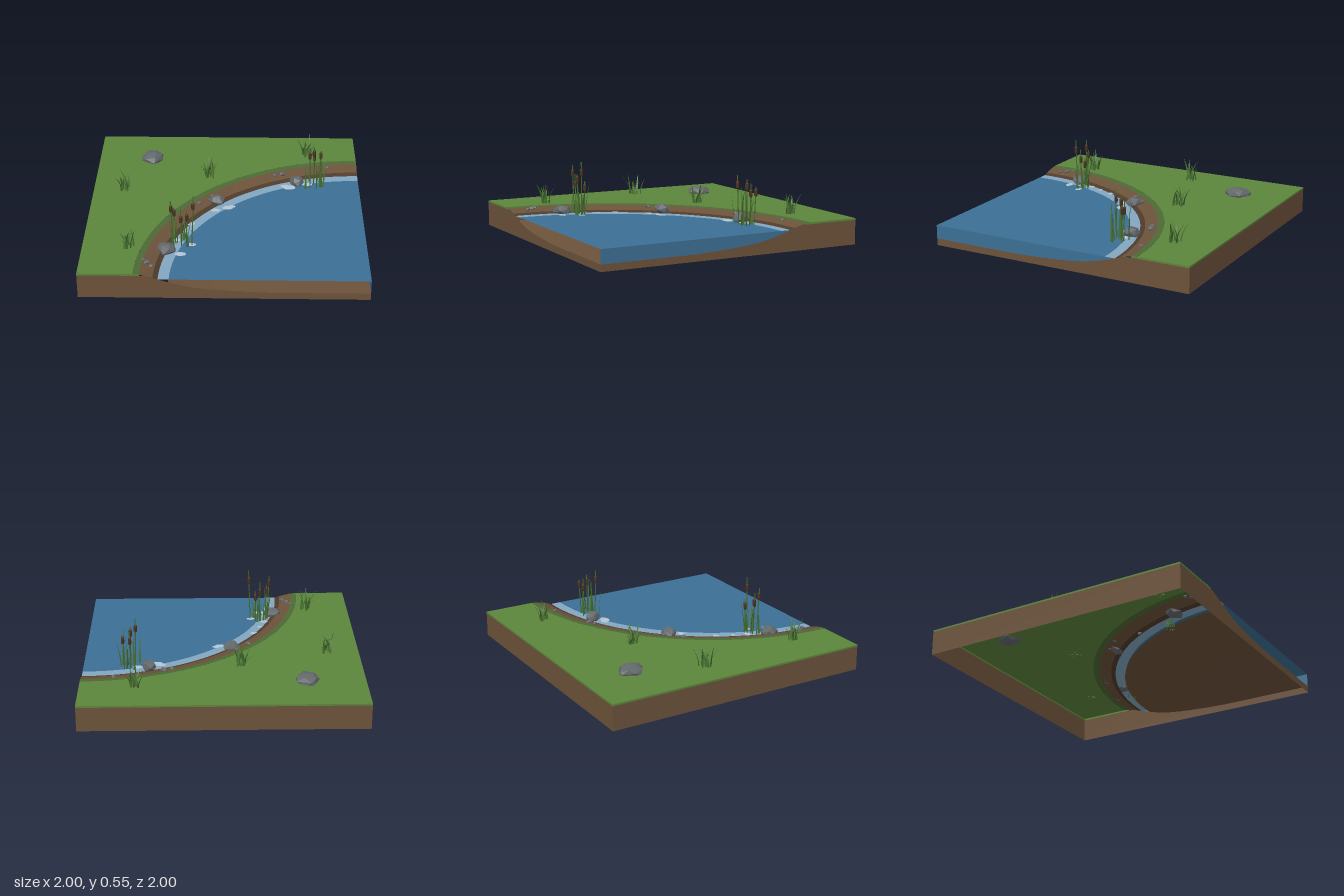
import * as THREE from 'three';
import { ConvexGeometry } from 'three/addons/geometries/ConvexGeometry.js';

function material(name, color, flat = false) {
  const m = new THREE.MeshStandardMaterial({ color, side: THREE.DoubleSide, flatShading: flat });
  m.name = name;
  return m;
}

export function createModel() {
  const model = new THREE.Group();
  model.name = 'pondCorner';
  const mat = {
    grass: material('grass green', 0x5c863c),
    edge: material('grass edge', 0x4d6a35),
    soil: material('soil brown', 0x6c523a),
    wet: material('wet soil', 0x4f3b2a),
    water: material('water blue', 0x3c7095),
    shallow: material('shallow water', 0x82a6c0),
    foam: material('foam white', 0xb4c6d2),
    rock: material('rock grey', 0x63686b, true),
    leaf: material('leaf green', 0x47702f),
    cattail: material('cattail brown', 0x4b3222),
  };
  let seed = 7;
  const rand = (a = 0, b = 1) => {
    seed = (seed * 16807) % 2147483647;
    return a + (b - a) * seed / 2147483647;
  };
  const add = (name, geo, m, parent = model) => {
    const mesh = new THREE.Mesh(geo, m);
    mesh.name = name;
    parent.add(mesh);
    return mesh;
  };

  // Quarter rings swept around the corner x = 1, z = 1, outer point first
  const ring = (name, m, pts) => add(name,
    new THREE.LatheGeometry(pts.map(p => new THREE.Vector2(...p)), 40, Math.PI, Math.PI / 2).translate(1, 0, 1), m);
  const TOP = 0.19, SOD = 0.177, LEVEL = 0.15;
  const basin = [[1.38, 0.128], [1.3, 0.105], [1.2, 0.085], [1.1, 0.073], [1, 0.065], [0.85, 0.056], [0.7, 0.05]];
  ring('grassEdge', mat.edge, [[1.62, TOP], [1.575, 0.186]]);
  ring('bank', mat.soil, [[1.575, 0.186], [1.53, 0.175], [1.485, 0.162]]);
  ring('wetBank', mat.wet, [[1.485, 0.162], [1.45, LEVEL]]);
  ring('pondBed', mat.soil, [...basin, [0, 0.05]]);
  ring('shallows', mat.shallow, [[1.452, LEVEL], [1.375, LEVEL]]);
  ring('waterSurface', mat.water, [[1.375, LEVEL], [0, LEVEL]]);

  // Lawn with a round bite taken out
  const lawn = new THREE.Shape();
  lawn.moveTo(-1, -1);
  lawn.lineTo(-0.62, -1);
  lawn.absarc(1, -1, 1.62, Math.PI, Math.PI / 2, true);
  lawn.lineTo(1, 1);
  lawn.lineTo(-1, 1);
  add('lawn', new THREE.ShapeGeometry(lawn, 40).rotateX(-Math.PI / 2).translate(0, TOP, 0), mat.grass);

  // Side walls: a full pair at the back and left, a cut pair at the front and right
  const outline = pts => new THREE.ShapeGeometry(new THREE.Shape(pts.map(p => new THREE.Vector2(...p))));
  const cut = [[1.575, SOD], [1.53, 0.175], [1.45, LEVEL], ...basin].map(([r, y]) => [1 - r, y]);
  const cutWall = () => outline([[-1, 0], [1, 0], [1, 0.05], ...[...cut].reverse(), [-1, SOD]]);
  const cutSod = () => outline([[-1, SOD], [-0.575, SOD], [-0.575, 0.186], [-0.62, TOP], [-1, TOP]]);
  const fullWall = (y0, y1) => outline([[-1, y0], [1, y0], [1, y1], [-1, y1]]);
  add('frontWall', cutWall().translate(0, 0, 1), mat.soil);
  add('frontSod', cutSod().translate(0, 0, 1), mat.grass);
  add('rightWall', cutWall().scale(-1, 1, 1).rotateY(Math.PI / 2).translate(1, 0, 0), mat.soil);
  add('rightSod', cutSod().scale(-1, 1, 1).rotateY(Math.PI / 2).translate(1, 0, 0), mat.grass);
  for (const [name, turn, x, z] of [['back', Math.PI, 0, -1], ['left', -Math.PI / 2, -1, 0]]) {
    add(name + 'Wall', fullWall(0, SOD).rotateY(turn).translate(x, 0, z), mat.soil);
    add(name + 'Sod', fullWall(SOD, TOP).rotateY(turn).translate(x, 0, z), mat.grass);
  }
  const waterCut = [[-0.45, LEVEL], ...cut.slice(3), [1, 0.05], [1, LEVEL]];
  add('waterSide', outline(waterCut.map(([u, y]) => [-u, y])).rotateY(Math.PI / 2).translate(1, 0, 0), mat.water);

  // Foam patches near the shore
  const foam = [[0.47, -0.26, 0.05], [0.44, -0.28, 0.035], [0.61, -0.31, 0.04], [-0.08, 0.085, 0.035], [0.01, 0.05, 0.04],
    [0.04, 0.03, 0.03], [-0.26, 0.28, 0.035], [-0.3, 0.4, 0.02], [-0.31, 0.685, 0.04], [-0.24, 0.56, 0.035], [-0.34, 0.5, 0.03]];
  for (const [x, z, r] of foam) {
    const patch = add('foam', new THREE.CircleGeometry(r, 9).rotateX(-Math.PI / 2), mat.foam);
    patch.scale.z = 0.65;
    patch.position.set(x, LEVEL + 0.003, z);
  }

  // Faceted rocks: hulls of points scattered evenly over an ellipsoid
  const rock = (name, x, y, z, rx, ry, rz, n) => {
    const pts = [];
    for (let i = 0; i < n; i++) {
      const h = 1 - 2 * (i + 0.5) / n, a = i * 2.4 + rand(0, 0.7), s = Math.sqrt(1 - h * h), k = rand(0.9, 1.1);
      pts.push(new THREE.Vector3(rx * k * s * Math.cos(a), ry * h * k, rz * k * s * Math.sin(a)));
    }
    add(name, new ConvexGeometry(pts), mat.rock).position.set(x, y, z);
  };
  rock('boulder', -0.59, 0.2, -0.63, 0.085, 0.045, 0.1, 22);
  rock('shoreRock', -0.41, 0.17, 0.64, 0.07, 0.042, 0.072, 18);
  rock('shoreRock', -0.07, 0.178, -0.02, 0.066, 0.042, 0.06, 18);
  rock('shoreRock', 0.53, 0.168, -0.33, 0.052, 0.045, 0.06, 18);
  const pebbles = [[0.77, -0.53, 0.02], [0.42, -0.42, 0.028], [0.365, -0.4, 0.02], [-0.1, -0.07, 0.025],
    [-0.2, 0.03, 0.022], [-0.56, 0.8, 0.018], [-0.53, 0.835, 0.026], [-0.5, 0.88, 0.02]];
  for (const [x, z, r] of pebbles) rock('pebble', x, 0.183, z, r, r * 0.55, r, 12);

  // Tapered blade that bends towards its own +x
  const blade = (parent, x, z, height, width, lean, turn) => {
    const geo = new THREE.PlaneGeometry(width, height, 1, 4).translate(0, height / 2, 0).rotateY(Math.PI / 2);
    const p = geo.attributes.position;
    for (let i = 0; i < p.count; i++) {
      const t = p.getY(i) / height;
      p.setXYZ(i, lean * t * t, p.getY(i), p.getZ(i) * (1.02 - t * t));
    }
    geo.computeVertexNormals();
    const mesh = add('blade', geo, mat.leaf, parent);
    mesh.position.set(x, 0, z);
    mesh.rotation.y = turn;
  };

  // Grass tufts on the lawn
  for (const [x, z] of [[-0.77, -0.15], [-0.13, -0.36], [0.61, -0.7], [-0.67, 0.66]]) {
    const tuft = new THREE.Group();
    tuft.name = 'grassTuft';
    tuft.position.set(x, TOP - 0.005, z);
    for (let i = 0; i < 11; i++) {
      blade(tuft, rand(-0.035, 0.035), rand(-0.035, 0.035), rand(0.09, 0.165), 0.018, rand(0.025, 0.08), i * 0.571 + rand(0, 0.4));
    }
    model.add(tuft);
  }

  // Reed clumps: stems [x, z, cattail height, tip height] and leaves between them
  const clumps = [
    ['leftReeds', -0.3, 0.54, [[-0.38, 0.57, 0.45, 0.51], [-0.36, 0.54, 0.4, 0.44], [-0.27, 0.52, 0.35, 0.4],
      [-0.22, 0.57, 0.47, 0.55], [-0.31, 0.58, 0.37, 0.45]]],
    ['backReeds', 0.66, -0.3, [[0.62, -0.25, 0.43, 0.5], [0.655, -0.31, 0.42, 0.47], [0.71, -0.35, 0.38, 0.42],
      [0.66, -0.34, 0.37, 0.44]]],
  ];
  for (const [name, cx, cz, stems] of clumps) {
    const clump = new THREE.Group();
    clump.name = name;
    clump.position.set(cx, 0.115, cz);
    for (const [x, z, head, tip] of stems) {
      const end = new THREE.Vector3(x - cx, tip - 0.115, z - cz);
      const base = new THREE.Vector3(end.x * 0.8, 0, end.z * 0.8);
      const line = new THREE.LineCurve3(base, end);
      add('stem', new THREE.TubeGeometry(line, 1, 0.004, 5), mat.leaf, clump);
      const at = line.getPoint((head - 0.115) / (tip - 0.115));
      add('cattail', new THREE.CapsuleGeometry(0.012, 0.034, 3, 8), mat.cattail, clump).position.copy(at);
    }
    for (let i = 0; i < 9; i++) {
      blade(clump, rand(-0.07, 0.07), rand(-0.06, 0.06), rand(0.17, 0.34), 0.016, rand(0.01, 0.06), i * 0.7 + rand(0, 0.4));
    }
    model.add(clump);
  }
  return model;
}
